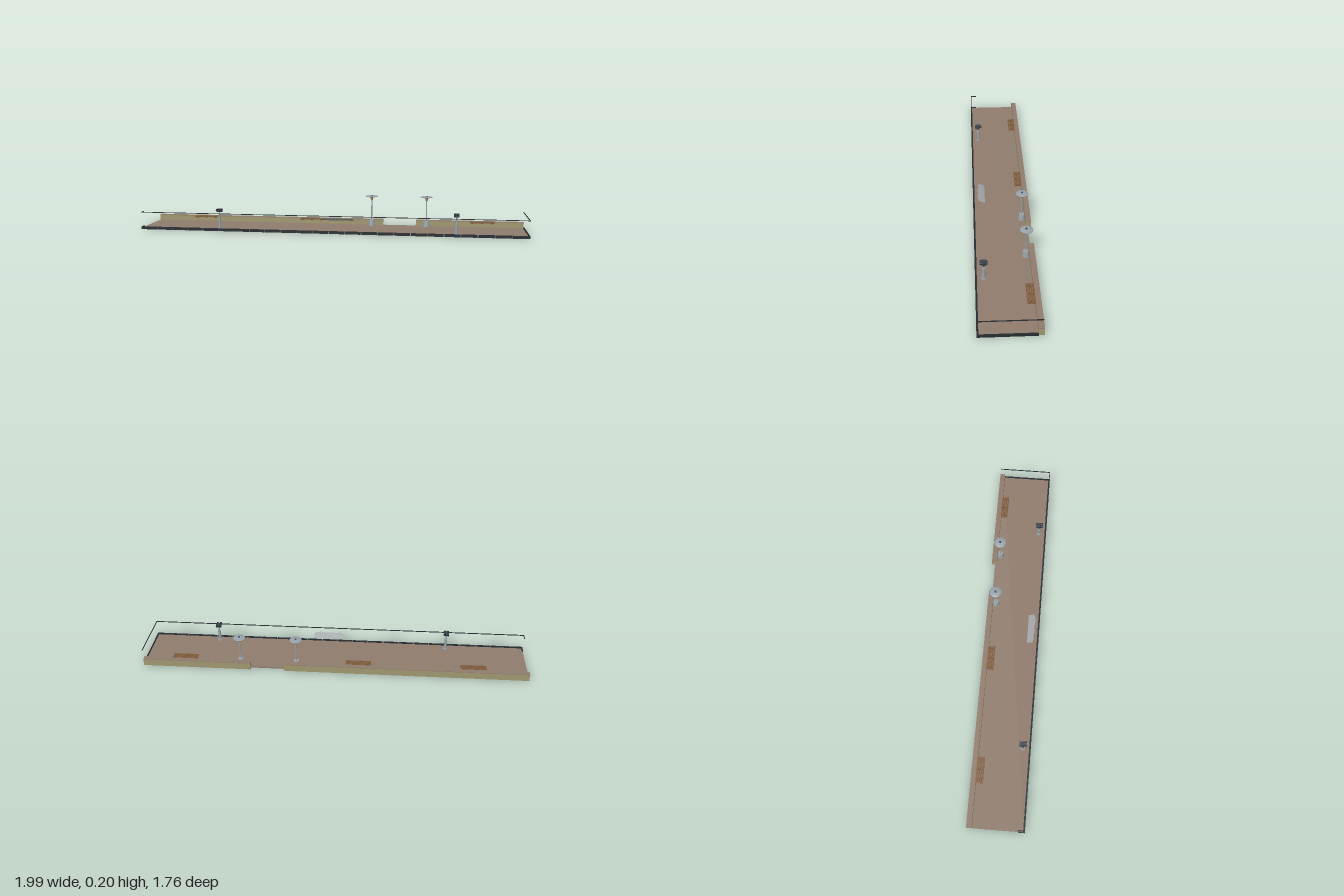
import * as THREE from 'three';

const mat = (name, color, side = THREE.FrontSide) => {
  const m = new THREE.MeshStandardMaterial({ color, side });
  m.name = name;
  return m;
};

export function createModel() {
  const paving = mat('paving brown', 0x8f7b6c);
  const stone = mat('olive stone', 0xa0976f);
  const wood = mat('bench wood', 0x805c3c);
  const darkWood = mat('dark wood', 0x5e432c);
  const steel = mat('steel grey', 0x98a2a8);
  const panelGrey = mat('panel grey', 0xa3a7a9, THREE.DoubleSide);
  const charcoal = mat('charcoal metal', 0x262c31);
  const slate = mat('slate blue', 0x3b4b54);
  const copper = mat('copper burner', 0xb08850);

  const model = new THREE.Group();
  model.name = 'viewingTerrace';
  // The terrace is laid out straight, then turned diagonally
  const terrace = new THREE.Group();
  terrace.name = 'terrace';
  terrace.rotation.y = THREE.MathUtils.degToRad(40.3);
  model.add(terrace);

  const add = (parent, name, geo, material, x = 0, y = 0, z = 0) => {
    const mesh = new THREE.Mesh(geo, material);
    mesh.name = name;
    mesh.position.set(x, y, z);
    parent.add(mesh);
    return mesh;
  };
  // Box given by its lower and upper corners
  const block = (parent, name, material, [x0, y0, z0], [x1, y1, z1]) =>
    add(parent, name, new THREE.BoxGeometry(x1 - x0, y1 - y0, z1 - z0), material,
      (x0 + x1) / 2, (y0 + y1) / 2, (z0 + z1) / 2);
  const group = (name, x, z) => {
    const g = new THREE.Group();
    g.name = name;
    g.position.set(x, 0, z);
    terrace.add(g);
    return g;
  };

  // Deck
  block(terrace, 'deck', paving, [-1.16, 0, -0.15], [1.16, 0.01, 0.16]);

  // Low rear walls with a gap for the entrance
  for (const [x0, x1] of [[-1.16, 0.3], [0.505, 1.16]]) {
    block(terrace, 'rearWall', stone, [x0, 0, -0.17], [x1, 0.042, -0.139]);
    block(terrace, 'wallCap', paving, [x0, 0.042, -0.17], [x1, 0.045, -0.139]);
  }

  // Balustrade: floor channel in lengths, and a slim handrail
  const lengths = 24, step = 2.32 / lengths;
  for (let i = 0; i < lengths; i++) {
    const x = -1.16 + i * step;
    block(terrace, 'floorChannel', charcoal, [x + 0.002, 0, 0.155], [x + step - 0.002, 0.016, 0.165]);
  }
  block(terrace, 'endChannel', charcoal, [1.157, 0, -0.14], [1.164, 0.016, 0.165]);
  block(terrace, 'returnChannel', charcoal, [-1.164, 0, 0.125], [-1.157, 0.016, 0.165]);
  block(terrace, 'frontHandrail', charcoal, [-1.162, 0.103, 0.158], [1.162, 0.107, 0.162]);
  block(terrace, 'endHandrail', charcoal, [1.158, 0.103, -0.165], [1.162, 0.107, 0.158]);
  block(terrace, 'returnHandrail', charcoal, [-1.162, 0.103, 0.125], [-1.158, 0.107, 0.158]);

  // Slatted benches fixed to the rear wall
  for (const x of [-0.833, -0.145, 0.909]) {
    const bench = group('bench', x, -0.119);
    for (let i = 0; i < 4; i++) {
      const z = -0.022 + i * 0.0115;
      block(bench, 'benchSlat', wood, [-0.076, 0.041, z], [0.076, 0.046, z + 0.009]);
    }
    for (const s of [-0.06, 0, 0.06])
      block(bench, 'benchBearer', darkWood, [s - 0.005, 0.037, -0.022], [s + 0.005, 0.041, 0.021]);
  }

  // Patio heaters
  const dome = new THREE.LatheGeometry([[0.004, 0.186], [0.018, 0.188], [0.037, 0.192],
    [0.036, 0.195], [0.018, 0.199], [0, 0.2]].map(p => new THREE.Vector2(...p)), 24);
  for (const x of [0.231, 0.57]) {
    const heater = group('patioHeater', x, -0.12);
    add(heater, 'heaterBase', new THREE.CylinderGeometry(0.016, 0.021, 0.036, 16), steel, 0, 0.028);
    add(heater, 'heaterPole', new THREE.CylinderGeometry(0.0035, 0.0035, 0.13, 10), steel, 0, 0.105);
    add(heater, 'heaterBurner', new THREE.CylinderGeometry(0.009, 0.005, 0.022, 14), copper, 0, 0.177);
    add(heater, 'heaterDome', dome, steel);
    add(heater, 'domeCap', new THREE.CylinderGeometry(0.007, 0.007, 0.003, 12), slate, 0, 0.2);
  }

  // Pedestal binoculars looking out over the handrail
  for (const x of [-0.679, 0.748]) {
    const viewer = group('binocularViewer', x, 0.118);
    add(viewer, 'viewerFoot', new THREE.CylinderGeometry(0.014, 0.014, 0.006, 14), steel, 0, 0.013);
    add(viewer, 'viewerPost', new THREE.CylinderGeometry(0.008, 0.009, 0.075, 14), steel, 0, 0.0475);
    add(viewer, 'viewerNeck', new THREE.CylinderGeometry(0.004, 0.004, 0.03, 10), steel, 0, 0.1);
    block(viewer, 'viewerYoke', charcoal, [-0.016, 0.11, -0.007], [0.016, 0.115, 0.007]);
    block(viewer, 'viewerBody', slate, [-0.015, 0.115, -0.014], [0.015, 0.13, 0.014]);
    for (const s of [-1, 1]) {
      const barrel = add(viewer, 'viewerBarrel', new THREE.CylinderGeometry(0.0075, 0.006, 0.044, 12),
        charcoal, s * 0.009, 0.124, 0);
      barrel.rotation.x = Math.PI / 2;
    }
  }

  // Sloping panorama panel with a skyline edge, raised towards the view
  const outline = [[-0.092, -0.024], [0.092, -0.024], [0.092, 0.012], [0.07, 0.02], [0.045, 0.016],
    [0.02, 0.022], [-0.02, 0.02], [-0.05, 0.025], [-0.075, 0.02], [-0.092, 0.012]];
  const panelGeo = new THREE.ShapeGeometry(new THREE.Shape(outline.map(p => new THREE.Vector2(...p))));
  // Shape up becomes outward and slightly up
  panelGeo.scale(-1, 1, 1);
  panelGeo.rotateX(Math.PI / 2 - THREE.MathUtils.degToRad(23));
  add(terrace, 'panoramaPanel', panelGeo, panelGrey, 0.052, 0.08, 0.116);

  return model;
}
